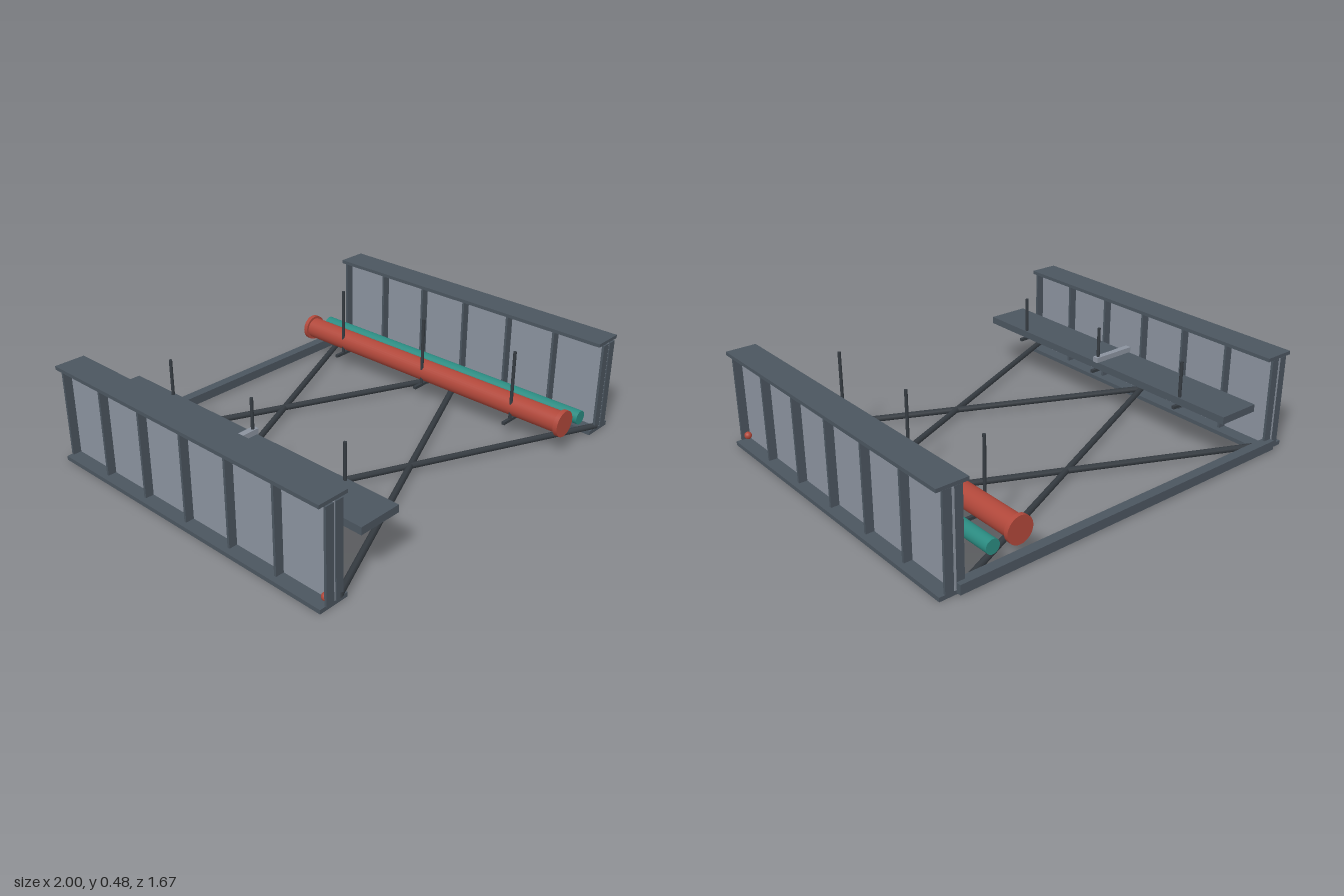
import * as THREE from 'three';

const mat = (name, color, side = THREE.FrontSide) => {
  const m = new THREE.MeshStandardMaterial({ color, side });
  m.name = name;
  return m;
};

export function createModel() {
  const steel = mat('painted steel', 0x4b555f);
  const web = mat('light steel', 0x8a929e);
  const dark = mat('dark steel', 0x353b41);
  const red = mat('red pipe', 0xb0473a);
  const teal = mat('teal pipe', 0x2a8a80);

  const model = new THREE.Group();
  model.name = 'bridgeDeckFrame';

  const add = (parent, name, geo, material, x, y, z) => {
    const m = new THREE.Mesh(geo, material);
    m.name = name;
    m.position.set(x, y, z);
    parent.add(m);
    return m;
  };
  // Box given by its minimum and maximum corners
  const box = (parent, name, material, x0, x1, y0, y1, z0, z1) =>
    add(parent, name, new THREE.BoxGeometry(Math.abs(x1 - x0), y1 - y0, z1 - z0), material,
      (x0 + x1) / 2, (y0 + y1) / 2, (z0 + z1) / 2);
  // Cylinder along z
  const pipe = (parent, name, material, r, x, y, z0, z1) => {
    const g = new THREE.CylinderGeometry(r, r, z1 - z0, 32).rotateX(Math.PI / 2);
    return add(parent, name, g, material, x, y, (z0 + z1) / 2);
  };

  const Z0 = -0.813, Z1 = 0.818, PANELS = 6;

  // Plate girders with flanges, web, stiffeners and bolts
  for (const s of [-1, 1]) {
    const girder = new THREE.Group();
    girder.name = s > 0 ? 'leftGirder' : 'rightGirder';
    model.add(girder);
    box(girder, 'bottomFlange', steel, s * 0.85, s * 1, 0, 0.02, Z0, Z1);
    box(girder, 'topFlange', steel, s * 0.85, s * 1, 0.463, 0.48, Z0, Z1);
    box(girder, 'web', web, s * 0.92, s * 0.931, 0.02, 0.463, Z0 - 0.002, Z1 + 0.002);
    for (let i = 0; i <= PANELS; i++) {
      const z = -0.808 + i * 0.2712;
      box(girder, 'innerStiffener', steel, s * 0.88, s * 0.92, 0.02, 0.463, z - 0.006, z + 0.006);
      box(girder, 'outerStiffener', steel, s * 0.931, s * 0.972, 0.02, 0.463, z - 0.006, z + 0.006);
    }
    for (let i = 0; i < PANELS * 2; i++) {
      const g = new THREE.CylinderGeometry(0.008, 0.008, 0.014, 10).rotateZ(Math.PI / 2);
      add(girder, 'bolt', g, dark, s * 0.936, 0.438, -0.737 + i * 0.1358);
    }
    add(girder, 'redMarker', new THREE.SphereGeometry(0.018, 16, 12), red, s * 0.948, 0.043, 0.797);
  }

  // Cross beam at the back
  box(model, 'endBeam', steel, -0.92, 0.92, 0.008, 0.054, -0.838, -0.79);

  // Diagonal bracing, one cross per bay
  for (const bay of [-0.818, 0]) {
    for (const s of [-1, 1]) {
      const a = new THREE.Vector3(-0.9 * s, 0.034, bay);
      const b = new THREE.Vector3(0.9 * s, 0.034, bay + 0.82);
      const d = b.clone().sub(a);
      const brace = add(model, 'diagonalBrace', new THREE.CylinderGeometry(0.015, 0.015, d.length(), 8),
        dark, 0, 0.034, bay + 0.41);
      brace.quaternion.setFromUnitVectors(new THREE.Vector3(0, 1, 0), d.normalize());
    }
  }

  // Brackets with hanger rods
  const hangers = (name, x0, x1, y0, rodX) => {
    const group = new THREE.Group();
    group.name = name;
    model.add(group);
    for (const z of [-0.54, 0.002, 0.546]) {
      box(group, 'bracket', dark, x0, x1, y0, y0 + 0.014, z - 0.008, z + 0.008);
      add(group, 'hangerRod', new THREE.CylinderGeometry(0.008, 0.008, 0.452 - y0, 10), dark,
        rodX, (0.452 + y0) / 2, z);
    }
  };

  // Cable tray with its strap
  hangers('trayHangers', -0.803, -0.533, 0.226, -0.575);
  box(model, 'cableTray', steel, -0.776, -0.562, 0.24, 0.276, Z0, Z1);
  box(model, 'trayStrap', web, -0.785, -0.555, 0.276, 0.302, -0.014, 0.016);

  // Service pipes
  hangers('pipeHangers', 0.513, 0.812, 0.09, 0.568);
  pipe(model, 'mainPipe', red, 0.053, 0.609, 0.158, Z0, Z1);
  pipe(model, 'mainPipeBackFlange', red, 0.065, 0.609, 0.158, Z0, Z0 + 0.022);
  pipe(model, 'mainPipeFrontFlange', red, 0.065, 0.609, 0.158, Z1 - 0.022, Z1);
  pipe(model, 'smallPipe', teal, 0.034, 0.745, 0.138, Z0, Z1);

  return model;
}
